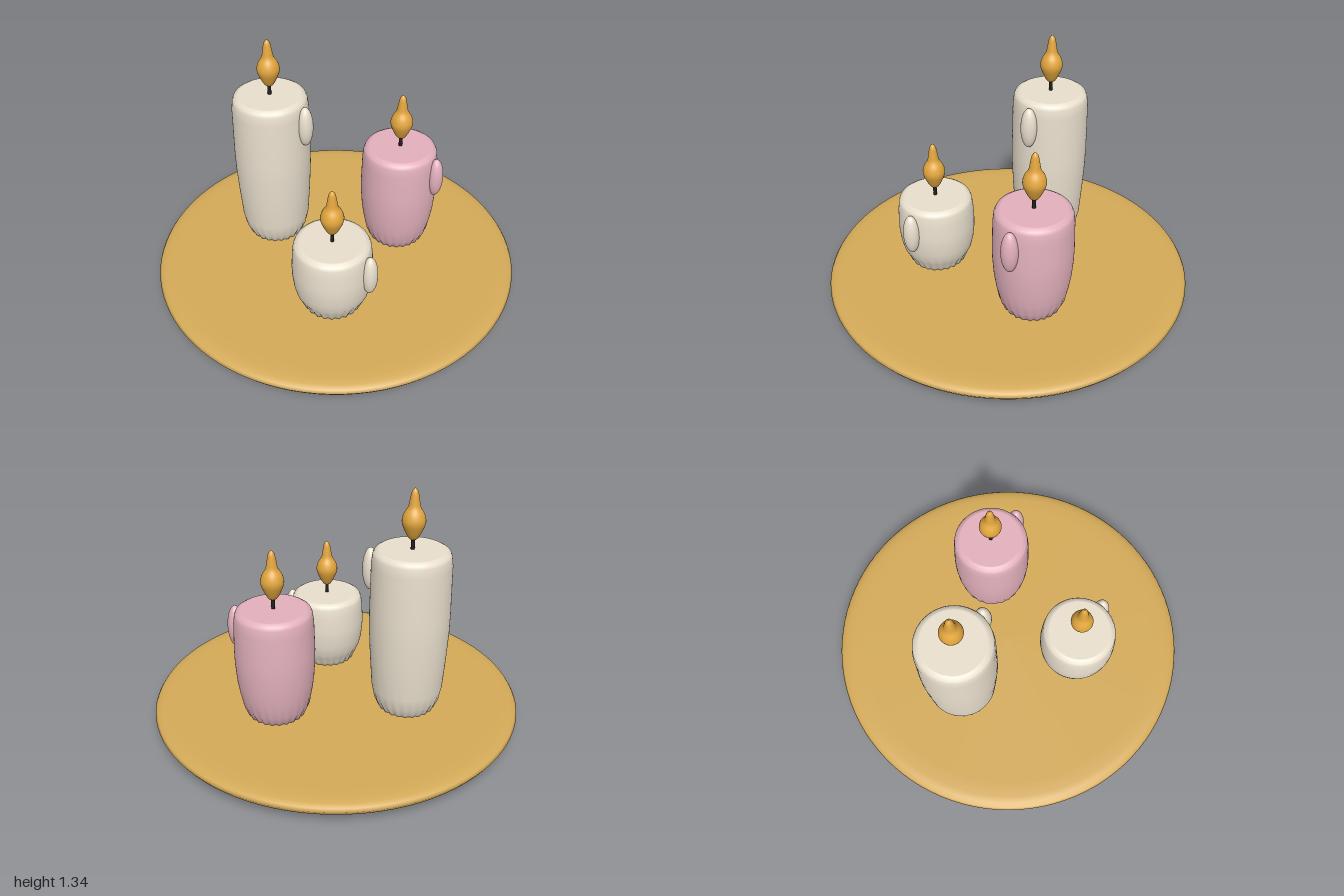
import * as THREE from 'three';

const material = (color) => new THREE.MeshStandardMaterial({ color });
const brass = material(0xd4aa58);
const cream = material(0xe9dfcd);
const pink = material(0xe3b1bd);
const dark = material(0x221e1c);
const amber = material(0xe2a63e);

const profile = (points) => points.map(([r, y]) => new THREE.Vector2(r, y));

function addMesh(parent, name, geometry, mat, x = 0, y = 0, z = 0) {
  const mesh = new THREE.Mesh(geometry, mat);
  mesh.name = name;
  mesh.position.set(x, y, z);
  parent.add(mesh);
  return mesh;
}

// Wax body: narrow fluted foot, slightly bulging wall, bevelled flat top
function waxGeometry(height) {
  const geometry = new THREE.LatheGeometry(profile([
    [0, -0.01], [0.14, -0.01], [0.155, 0.02], [0.175, 0.06], [0.19, 0.13 * Math.min(1, height / 0.6)],
    [0.202, height * 0.34], [0.209, height * 0.5], [0.21, height * 0.62],
    [0.206, height - 0.08], [0.2, height - 0.03], [0.192, height - 0.012],
    [0.172, height], [0.165, height], [0, height],
  ]), 96);
  const p = geometry.attributes.position;
  for (let i = 0; i < p.count; i++) {
    const x = p.getX(i), y = p.getY(i), z = p.getZ(i);
    const fade = Math.max(0, 1 - Math.max(0, y) / 0.09);
    const scale = 1 + 0.04 * fade * Math.cos(24 * Math.atan2(z, x));
    p.setXYZ(i, x * scale, y, z * scale);
  }
  geometry.computeVertexNormals();
  // Join the normals across the lathe seam
  const n = geometry.attributes.normal, rings = 14;
  for (let j = 0; j < rings; j++) {
    const last = n.count - rings + j;
    const v = new THREE.Vector3().fromBufferAttribute(n, j)
      .add(new THREE.Vector3().fromBufferAttribute(n, last)).normalize();
    n.setXYZ(j, v.x, v.y, v.z);
    n.setXYZ(last, v.x, v.y, v.z);
  }
  return geometry;
}

// Teardrop flame with a round belly and drawn-out tip
function flameGeometry() {
  const curve = new THREE.SplineCurve(profile([
    [0, 0], [0.022, 0.008], [0.045, 0.05], [0.06, 0.095], [0.052, 0.135],
    [0.032, 0.17], [0.025, 0.205], [0.016, 0.25], [0, 0.27],
  ]));
  const points = curve.getPoints(32);
  points.forEach((p) => { p.x = Math.max(0, p.x); });
  return new THREE.LatheGeometry(points, 32);
}

function createCandle(name, wax, x, z, height) {
  const candle = new THREE.Group();
  candle.name = name;
  candle.position.set(x, 0.115, z);
  addMesh(candle, 'waxBody', waxGeometry(height), wax);
  addMesh(candle, 'wick', new THREE.CylinderGeometry(0.01, 0.01, 0.1, 12), dark, 0, height + 0.04, 0);
  addMesh(candle, 'flame', flameGeometry(), amber, 0, height + 0.05, 0);
  const drip = addMesh(candle, 'waxDrip', new THREE.SphereGeometry(1, 32, 20), wax, 0.212, height - 0.137, 0.05);
  drip.scale.set(0.042, 0.117, 0.045);
  return candle;
}

export function createModel() {
  const model = new THREE.Group();
  model.name = 'candleTray';

  // Shallow round tray with a rounded rim
  addMesh(model, 'tray', new THREE.LatheGeometry(profile([
    [0, 0], [0.42, 0.003], [0.75, 0.012], [0.86, 0.022], [0.95, 0.045], [0.985, 0.062],
    [1, 0.085], [0.99, 0.1], [0.965, 0.109], [0.93, 0.115], [0.86, 0.116], [0, 0.116],
  ]), 96), brass);

  model.add(
    createCandle('tallCandle', cream, -0.395, -0.1, 0.908),
    createCandle('mediumCandle', pink, 0.293, -0.247, 0.613),
    createCandle('shortCandle', cream, 0.095, 0.39, 0.415),
  );
  return model;
}
